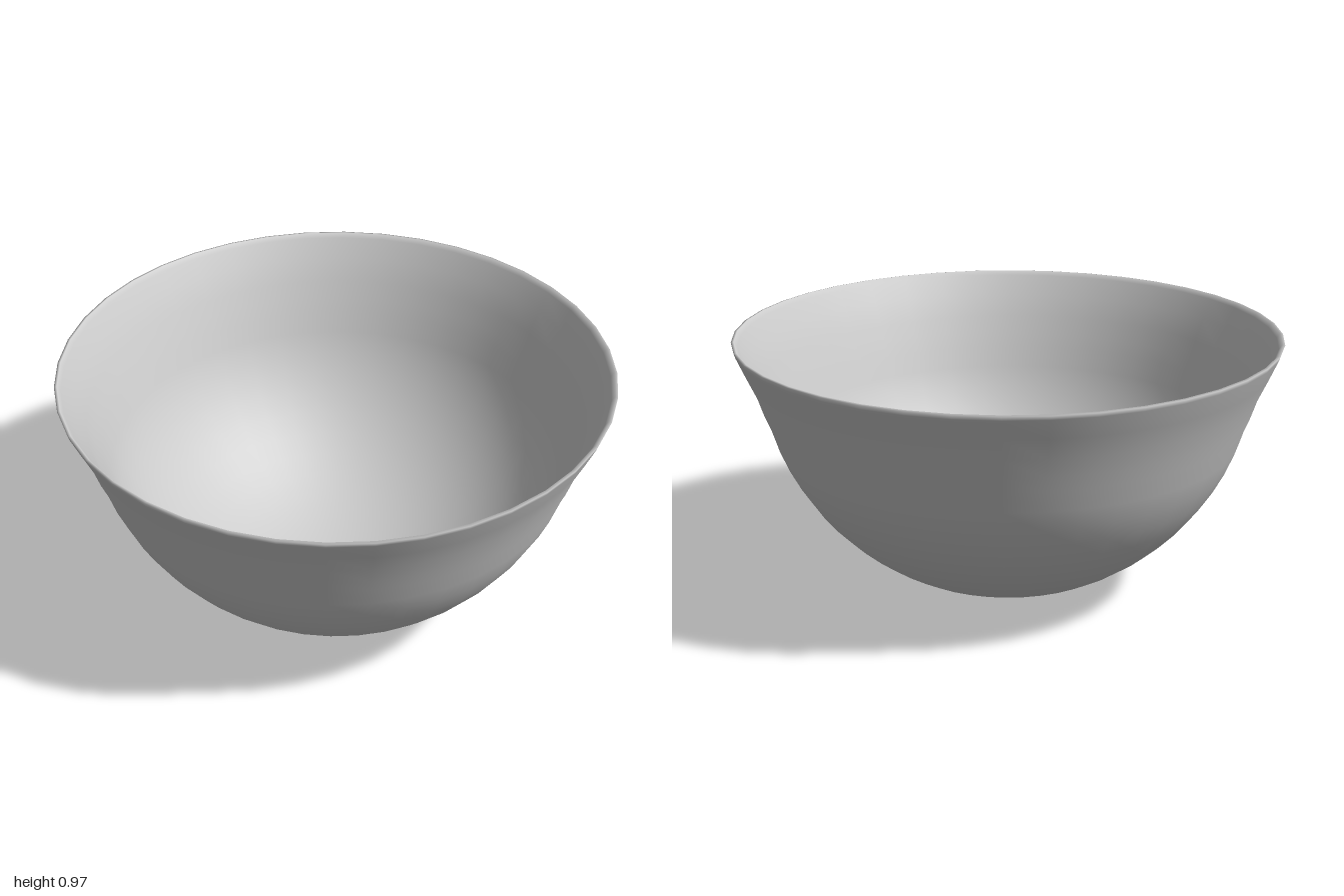
import * as THREE from 'three';

const RADIUS = 0.91, WALL = 0.025, SIDES = 40, STEPS = 14;

// Round basin from the pole up to 75 degrees, as seen from its centre
function basin(radius) {
  const points = [];
  for (let i = 0; i <= STEPS; i++) {
    const a = (i / STEPS) * THREE.MathUtils.degToRad(75);
    points.push(new THREE.Vector2(radius * Math.sin(a), RADIUS - radius * Math.cos(a)));
  }
  return points;
}

export function createModel() {
  const group = new THREE.Group();
  group.name = 'bowl';

  // Outer wall, flared thin rim, then the inner wall back to the axis
  const profile = [
    ...basin(RADIUS),
    new THREE.Vector2(0.902, 0.73),
    new THREE.Vector2(0.925, 0.80),
    new THREE.Vector2(0.962, 0.88),
    new THREE.Vector2(0.995, 0.955),
    new THREE.Vector2(1.0, 0.97),
    new THREE.Vector2(0.99, 0.972),
    new THREE.Vector2(0.978, 0.955),
    new THREE.Vector2(0.94, 0.88),
    new THREE.Vector2(0.902, 0.80),
    new THREE.Vector2(0.878, 0.73),
    ...basin(RADIUS - WALL).reverse(),
  ];

  const shell = new THREE.Mesh(
    new THREE.LatheGeometry(profile, SIDES),
    new THREE.MeshStandardMaterial({ color: 0xcccccc })
  );
  shell.name = 'bowlShell';
  group.add(shell);
  return group;
}
